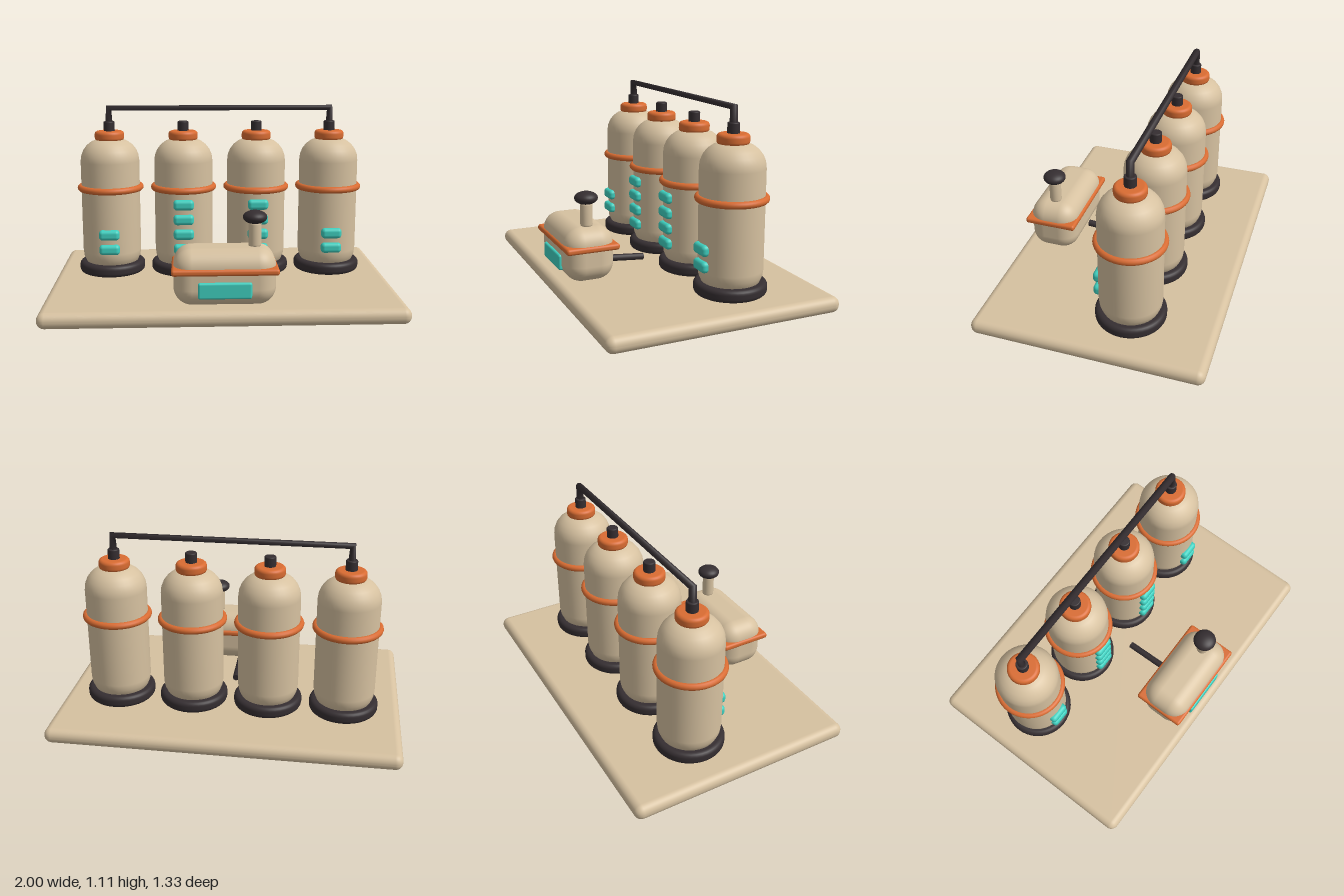
import * as THREE from 'three';
import { RoundedBoxGeometry } from 'three/addons/geometries/RoundedBoxGeometry.js';

const material = (name, color) => {
  const m = new THREE.MeshStandardMaterial({ color });
  m.name = name;
  return m;
};

// Upright cylinder standing on y = 0 with rounded rims
function roundedCylinder(radius, height, bevel, steps = 5, sides = 40) {
  const profile = [new THREE.Vector2(0, 0)];
  const inner = radius - bevel;
  for (const [centre, start] of [[bevel, -Math.PI / 2], [height - bevel, 0]]) {
    for (let i = 0; i <= steps; i++) {
      const a = start + (i / steps) * Math.PI / 2;
      profile.push(new THREE.Vector2(inner + bevel * Math.cos(a), centre + bevel * Math.sin(a)));
    }
  }
  profile.push(new THREE.Vector2(0, height));
  return new THREE.LatheGeometry(profile, sides);
}

// Straight-sided path with one ring per corner, for mitred pipes
class Polyline extends THREE.Curve {
  constructor(points) {
    super();
    this.points = points;
  }
  getPointAt(u, target = new THREE.Vector3()) {
    const last = this.points.length - 1;
    const i = Math.min(Math.floor(u * last + 1e-6), last - 1);
    return target.lerpVectors(this.points[i], this.points[i + 1], u * last - i);
  }
  getTangentAt(u, target = new THREE.Vector3()) {
    const last = this.points.length - 1;
    const i = Math.round(u * last);
    target.set(0, 0, 0);
    for (const j of [i - 1, i]) {
      if (j >= 0 && j < last) target.add(this.points[j + 1].clone().sub(this.points[j]).normalize());
    }
    return target.normalize();
  }
}

export function createModel() {
  const tan = material('tan shell', 0xd6c1a0);
  const orange = material('orange trim', 0xd96c32);
  const dark = material('dark fittings', 0x352e31);
  const teal = material('teal lights', 0x3fd0c0);

  const model = new THREE.Group();
  model.name = 'tankStation';
  const add = (parent, name, geometry, mat, x = 0, y = 0, z = 0) => {
    const mesh = new THREE.Mesh(geometry, mat);
    mesh.name = name;
    mesh.position.set(x, y, z);
    parent.add(mesh);
    return mesh;
  };

  // Floor slab
  add(model, 'platform', new RoundedBoxGeometry(2, 0.09, 1.333, 4, 0.043), tan, 0, 0.045, 0);

  // Row of four tanks
  const tankZ = -0.17;
  const foot = roundedCylinder(0.2, 0.07, 0.025);
  const shell = roundedCylinder(0.177, 0.82, 0.135, 6);
  const band = new THREE.TorusGeometry(0.18, 0.02, 12, 48).rotateX(Math.PI / 2);
  const collar = roundedCylinder(0.088, 0.06, 0.02);
  const cap = roundedCylinder(0.033, 0.065, 0.006, 3, 24);
  const light = new RoundedBoxGeometry(0.122, 0.062, 0.055, 4, 0.022);
  [[-0.667, 2], [-0.222, 4], [0.222, 4], [0.667, 2]].forEach(([x, lights]) => {
    const tank = new THREE.Group();
    tank.name = 'tank';
    tank.position.set(x, 0, tankZ);
    model.add(tank);
    add(tank, 'tankFoot', foot, dark, 0, 0.088, 0);
    add(tank, 'tankShell', shell, tan, 0, 0.09, 0);
    add(tank, 'tankBand', band, orange, 0, 0.613, 0);
    add(tank, 'tankCollar', collar, orange, 0, 0.896, 0);
    add(tank, 'tankCap', cap, dark, 0, 0.948, 0);
    for (let i = 0; i < lights; i++) {
      add(tank, 'levelLight', light, teal, 0, 0.26 + i * 0.09, 0.174);
    }
  });

  // Overhead pipe joining the outer tanks
  const pipePath = new Polyline([[-0.667, 0.99], [-0.667, 1.092], [0.667, 1.092], [0.667, 0.99]]
    .map(([x, y]) => new THREE.Vector3(x, y, tankZ)));
  add(model, 'overheadPipe', new THREE.TubeGeometry(pipePath, 3, 0.022, 16), dark);

  // Control console with trim, display and lever
  const consoleGroup = new THREE.Group();
  consoleGroup.name = 'console';
  consoleGroup.position.set(0, 0, 0.468);
  model.add(consoleGroup);
  add(consoleGroup, 'consoleBody', new RoundedBoxGeometry(0.556, 0.312, 0.288, 6, 0.1), tan, 0, 0.246, 0);
  add(consoleGroup, 'consoleTrim', new RoundedBoxGeometry(0.576, 0.036, 0.31, 4, 0.015), orange, 0, 0.291, 0);
  add(consoleGroup, 'consoleDisplay', new RoundedBoxGeometry(0.288, 0.09, 0.04, 4, 0.012), teal, -0.003, 0.193, 0.14);
  add(consoleGroup, 'leverStem', roundedCylinder(0.035, 0.15, 0.02, 4, 24), tan, 0.165, 0.39, 0);
  add(consoleGroup, 'leverKnob', new THREE.SphereGeometry(0.066, 32, 20).scale(1, 0.56, 1), dark, 0.165, 0.56, 0);

  // Feed cable running back from the console
  const cable = add(model, 'feedCable', new THREE.CylinderGeometry(0.02, 0.02, 0.27, 16), dark, 0, 0.126, 0.19);
  cable.rotation.x = Math.PI / 2 - 0.083;

  return model;
}
